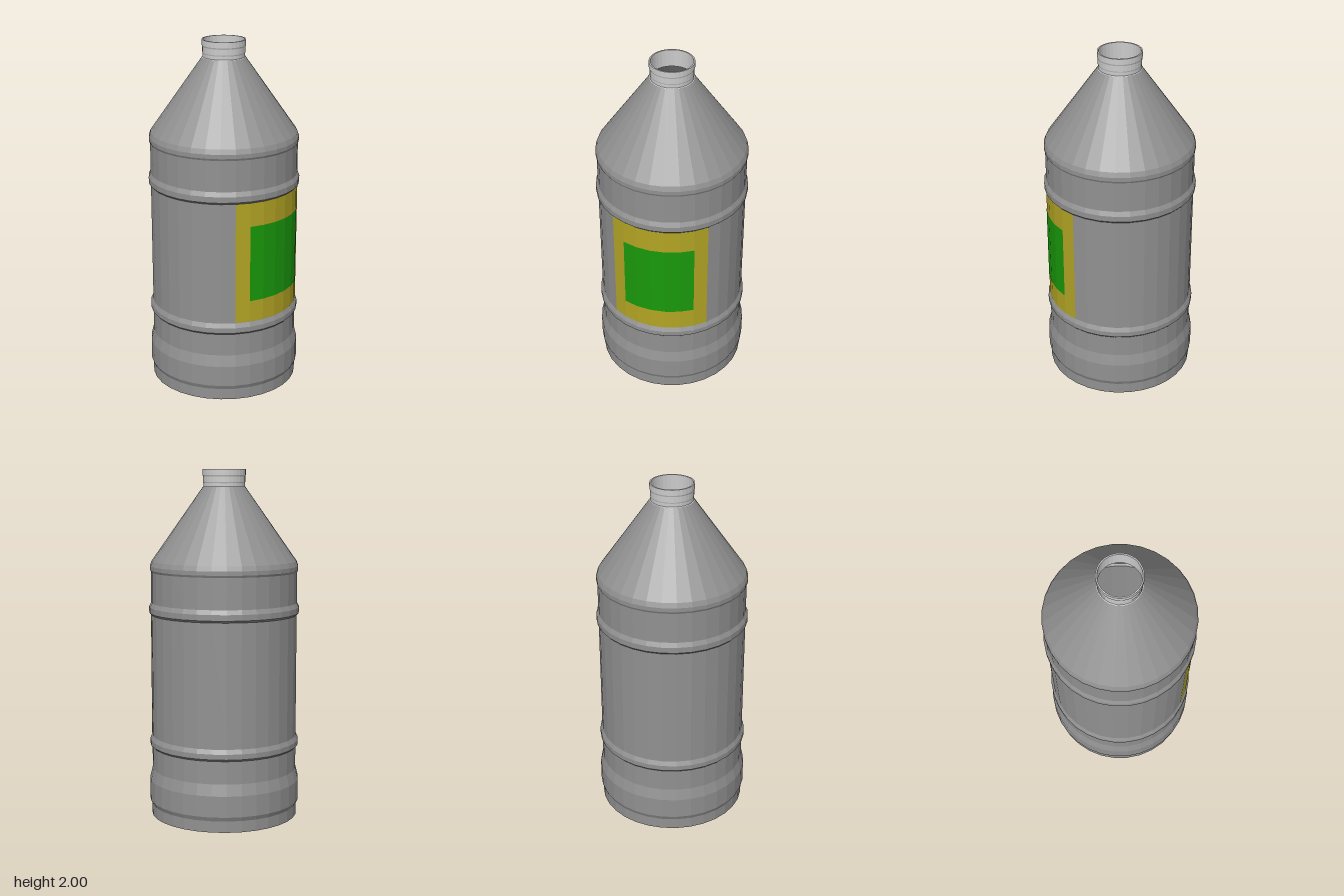
import * as THREE from 'three';

const SIDES = 32;
const STEP = (Math.PI * 2) / SIDES;

// Faceted surface of revolution from [radius, height] pairs
function lathe(name, profile, color, start = 0, count = SIDES) {
  const points = profile.map(([r, y]) => new THREE.Vector2(r, y));
  const geometry = new THREE.LatheGeometry(points, count, start * STEP, count * STEP);
  const material = new THREE.MeshStandardMaterial({ color, flatShading: true, side: THREE.DoubleSide });
  const mesh = new THREE.Mesh(geometry, material);
  mesh.name = name;
  return mesh;
}

// Rounded band standing out from the wall between two heights
const band = (y0, y1) => [
  [0.42, y0], [0.432, y0 + 0.012], [0.432, y1 - 0.025], [0.42, y1],
];

export function createModel() {
  const bottle = new THREE.Group();
  bottle.name = 'bottle';

  // Flat floor of the bottle
  bottle.add(lathe('base', [[0, 0], [0.425, 0]], 0xcccccc));

  // Swollen foot, two bands, shoulder and cone
  bottle.add(lathe('body', [
    [0.425, 0], [0.425, 0.065], [0.436, 0.09], [0.436, 0.21], [0.42, 0.275],
    ...band(0.405, 0.472),
    ...band(1.175, 1.245),
    [0.42, 1.42], [0.426, 1.432], [0.426, 1.455], [0.416, 1.482],
    [0.122, 1.9],
  ], 0x919191));

  // Open neck with a thick rim, a slight step and an inner wall
  bottle.add(lathe('neck', [
    [0.122, 1.9], [0.118, 1.903], [0.118, 1.922], [0.12, 1.928], [0.12, 1.96],
    [0.123, 1.968], [0.123, 2], [0.115, 2], [0.115, 1.9],
  ], 0xcccccc));

  // Label on the left side, following the wall's facets
  bottle.add(lathe('labelBorder', [[0.422, 0.475], [0.422, 1.175]], 0xb3a524, 5, 7));
  bottle.add(lathe('labelPanel', [[0.424, 0.6], [0.424, 1.04]], 0x19990b, 6, 5));

  return bottle;
}
